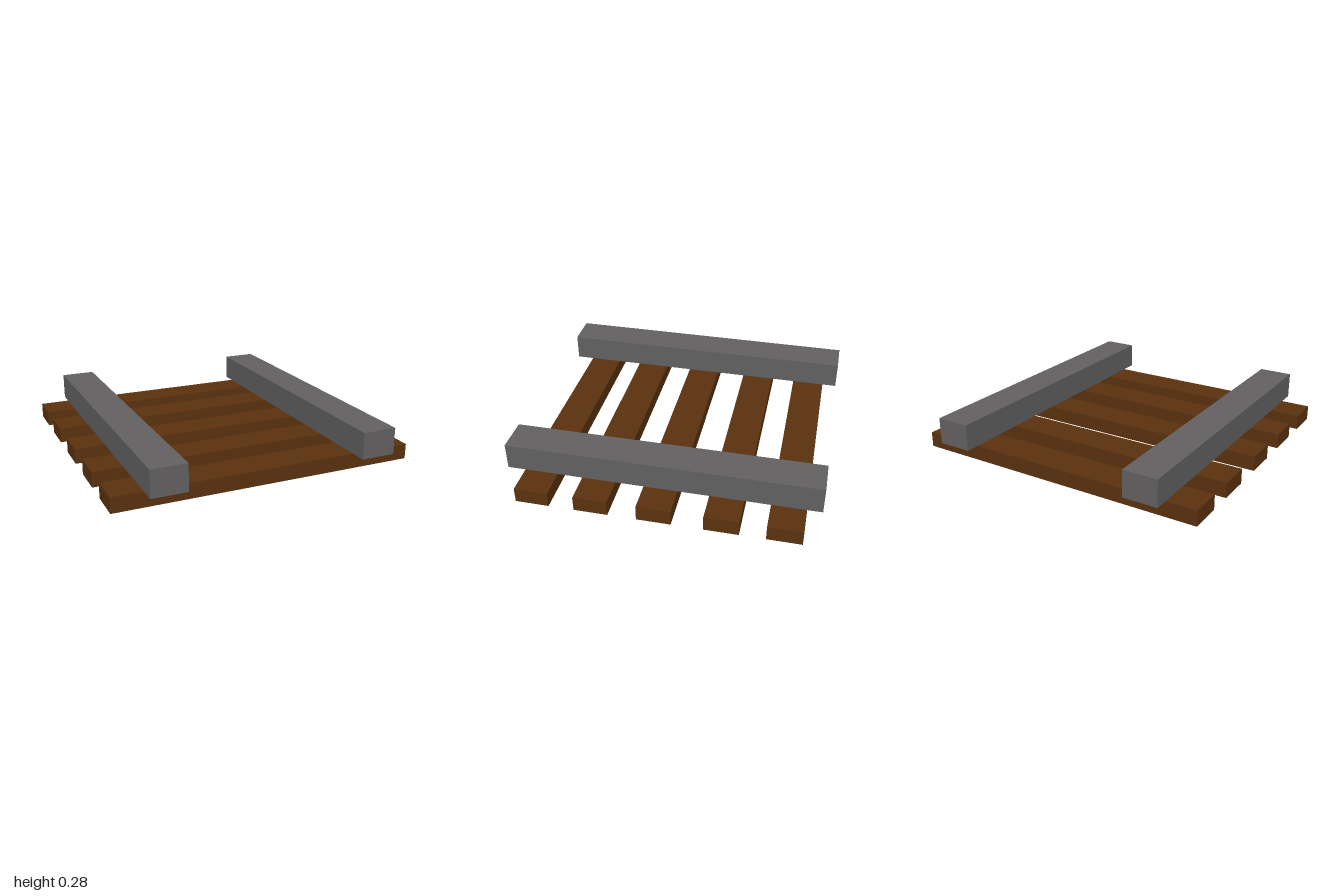
import * as THREE from 'three';

const wood = new THREE.MeshStandardMaterial({ color: 0x5a310e });
const steel = new THREE.MeshStandardMaterial({ color: 0x626060 });

function beam(name, material, size, position) {
  const mesh = new THREE.Mesh(new THREE.BoxGeometry(...size), material);
  mesh.name = name;
  mesh.position.set(...position);
  return mesh;
}

export function createModel() {
  const track = new THREE.Group();
  track.name = 'railTrack';

  // Wooden crossties, slightly unevenly spaced
  [-0.797, -0.418, -0.002, 0.397, 0.777].forEach((z, i) => {
    track.add(beam(`crosstie${i + 1}`, wood, [2, 0.1, 0.217], [0, 0.05, z]));
  });

  // Two long rails on top of the ties
  const railSize = [0.228, 0.175, 2];
  track.add(beam('rightRail', steel, railSize, [-0.689, 0.191, 0]));
  track.add(beam('leftRail', steel, railSize, [0.698, 0.191, 0]));

  return track;
}
